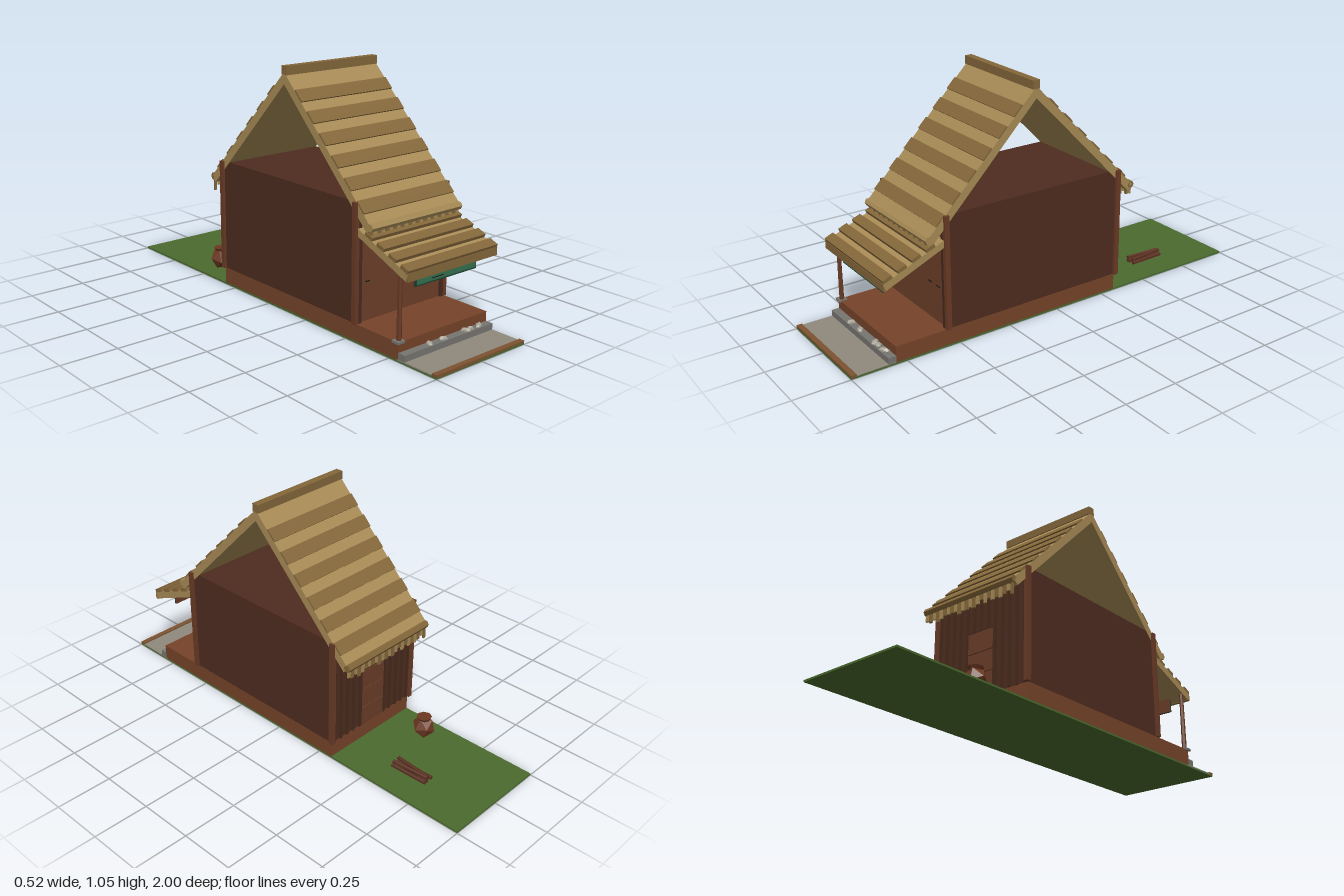
import * as THREE from 'three';

const mats = {};
const mat = (color) => (mats[color] ??= new THREE.MeshStandardMaterial({ color, flatShading: true }));

const C = {
  grass: 0x4a6b2e, path: 0x8f897d, edge: 0x7c5330, plinth: 0x764429, wall: 0x4e2c1f, front: 0x6e3f29,
  post: 0x693a26, dark: 0x472a1c, straw: 0xa88b56, strawDark: 0x84673a, stone: 0x777570, pebble: 0xaaa69a,
  sign: 0x34704f, frame: 0x1f3f2e, ink: 0x1c1a16, door: 0x6a3d28, pot: 0x6c3822, log: 0x5a3020,
};

export function createModel() {
  const model = new THREE.Group();
  let seed = 7;
  const rand = () => (seed = (seed * 16807) % 2147483647) / 2147483647;

  const add = (name, geo, color, x = 0, y = 0, z = 0) => {
    const m = new THREE.Mesh(geo, mat(color));
    m.name = name;
    m.position.set(x, y, z);
    model.add(m);
    return m;
  };
  // box given by its ranges on each axis
  const box = (name, color, x0, x1, y0, y1, z0, z1) =>
    add(name, new THREE.BoxGeometry(x1 - x0, y1 - y0, z1 - z0), color,
      (x0 + x1) / 2, (y0 + y1) / 2, (z0 + z1) / 2);
  // outline of (z, y) points extended across the width
  const slab = (name, color, pts, width = 0.5) => {
    const shape = new THREE.Shape(pts.map(([z, y]) => new THREE.Vector2(z, y)));
    const geo = new THREE.ExtrudeGeometry(shape, { depth: width, bevelEnabled: false });
    geo.translate(0, 0, -width / 2).rotateY(-Math.PI / 2);
    return add(name, geo, color);
  };
  // thatch course lying on a slope between two (z, y) points
  const course = (name, color, [z0, y0], [z1, y1], thick = 0.008) => {
    const m = add(name, new THREE.BoxGeometry(0.5, thick, Math.hypot(z1 - z0, y1 - y0)), color,
      0, (y0 + y1) / 2, (z0 + z1) / 2);
    m.rotation.x = -Math.atan2(y1 - y0, z1 - z0);
    if (Math.abs(m.rotation.x) > Math.PI / 2) m.rotation.x += Math.PI;
    return m;
  };
  const roll = (name, color, r, y, z) =>
    add(name, new THREE.CylinderGeometry(r, r, 0.5, 6).rotateZ(Math.PI / 2), color, 0, y, z);

  // Ground, front path and kerb
  box('grass', C.grass, -0.25, 0.25, 0, 0.008, -1, 1);
  box('path', C.path, -0.25, 0.25, 0.006, 0.011, 0.79, 0.976);
  box('kerb', C.edge, -0.25, 0.25, 0.004, 0.017, 0.976, 1);

  // Plinth, stone step and pebbles
  box('plinth', C.plinth, -0.25, 0.25, 0.008, 0.08, -0.32, 0.8);
  box('step', C.stone, -0.25, 0.25, 0.01, 0.038, 0.8, 0.835);
  for (const [x, w] of [[-0.1, 0.02], [-0.022, 0.02], [0.108, 0.023], [0.135, 0.014], [0.185, 0.026]]) {
    const p = add('pebble', new THREE.IcosahedronGeometry(1, 0), C.pebble, x, 0.04, 0.818);
    p.scale.set(w, 0.013, 0.014);
    p.rotation.y = x * 20;
  }

  // House body and front wall
  box('body', C.wall, -0.249, 0.249, 0.08, 0.58, -0.32, 0.55);
  box('frontWall', C.front, -0.249, 0.249, 0.08, 0.575, 0.55, 0.556);
  for (const [x0, x1] of [[-0.2, -0.175], [0.105, 0.13], [0.168, 0.192]])
    box('wallSlot', C.ink, x0, x1, 0.243, 0.247, 0.555, 0.559);

  // Corner posts, with dark jambs beside the front ones
  for (const s of [-1, 1]) {
    for (const z of [0.555, -0.325])
      add('cornerPost', new THREE.BoxGeometry(0.02, 0.5, 0.022), C.post, s * 0.251, 0.33, z);
    add('jamb', new THREE.BoxGeometry(0.016, 0.48, 0.012), C.dark, s * 0.233, 0.32, 0.56);
  }

  // Back wall planks and door
  for (let i = 0; i < 13; i++) {
    const x = -0.234 + i * 0.039;
    if (Math.abs(x) > 0.07) box('plankBatten', C.dark, x - 0.005, x + 0.005, 0.08, 0.54, -0.328, -0.32);
    else box('plankBatten', C.dark, x - 0.005, x + 0.005, 0.37, 0.54, -0.328, -0.32);
  }
  box('doorFrame', C.dark, -0.075, 0.075, 0.08, 0.37, -0.326, -0.32);
  for (const s of [-1, 1])
    for (const y of [0.085, 0.178, 0.271])
      box('doorPanel', C.door, s * 0.034 - 0.032, s * 0.034 + 0.032, y, y + 0.089, -0.331, -0.325);

  // Single porch post on a stone foot
  box('postFoot', C.stone, -0.26, -0.222, 0.075, 0.085, 0.772, 0.808);
  add('porchPost', new THREE.CylinderGeometry(0.009, 0.011, 0.295, 6), C.post, -0.238, 0.222, 0.79);

  // Hanging sign board
  box('signFrame', C.frame, -0.17, 0.17, 0.285, 0.365, 0.797, 0.804);
  box('signBoard', C.sign, -0.163, 0.163, 0.292, 0.36, 0.803, 0.807);
  box('signBack', C.door, -0.17, 0.17, 0.285, 0.365, 0.793, 0.797);
  box('signStroke', C.ink, -0.115, -0.045, 0.318, 0.321, 0.806, 0.809);
  box('signStroke', C.ink, -0.085, -0.02, 0.302, 0.305, 0.806, 0.809);

  // Main roof shell, open at the gables
  const apexZ = 0.115, apexY = 1.03, run = 0.525, drop = 0.535;
  slab('roof', C.straw, [[apexZ, apexY], [apexZ - run, apexY - drop], [apexZ - run + 0.025, 0.47],
    [apexZ, 0.98], [apexZ + run - 0.025, 0.47], [apexZ + run, apexY - drop]]);

  // Darker thatch courses and eave rolls on both slopes
  for (const s of [1, -1]) {
    const at = (y) => [apexZ + s * (run * (apexY - y) / drop + 0.002), y + 0.002];
    for (let i = 0; i < 6; i++) {
      const low = 0.92 - i * 0.0762;
      course('thatchCourse', C.strawDark, at(low + 0.042), at(low));
    }
    roll('eaveRoll', s > 0 ? C.straw : C.strawDark, 0.017, 0.493, apexZ + s * 0.518);
  }
  box('ridgeCap', C.strawDark, -0.25, 0.25, 1.018, 1.055, 0.098, 0.132);

  // Straw fringe under both eaves
  for (let i = 0; i < 24; i++) {
    const x = -0.239 + i * 0.0208, w = 0.006 + rand() * 0.003, long = 0.03 + rand() * 0.03;
    const color = i % 2 ? C.straw : C.strawDark;
    box('frontFringe', color, x - w, x + w, 0.462, 0.484, 0.618, 0.634);
    box('backFringe', color, x - w, x + w, 0.485 - long, 0.487, -0.408, -0.4);
  }

  // Porch roof with stepped courses and an eave roll
  const top = [0.56, 0.478], low = [0.842, 0.362];
  slab('porchRoof', C.straw, [top, [0.56, 0.447], [0.83, 0.333], low]);
  for (let i = 0; i < 4; i++) {
    const at = (t) => [top[0] + (low[0] - top[0]) * t + 0.002, top[1] + (low[1] - top[1]) * t + 0.007];
    course('porchCourse', C.strawDark, at(0.16 + i * 0.23), at(0.3 + i * 0.23), 0.016);
  }
  box('porchEave', C.strawDark, -0.25, 0.25, 0.332, 0.366, 0.826, 0.842);

  // Faceted clay pot
  const pot = add('pot', new THREE.IcosahedronGeometry(0.052, 0), C.pot, -0.145, 0.056, -0.505);
  pot.rotation.set(0.25, 0.4, 0);
  add('potRim', new THREE.CylinderGeometry(0.034, 0.026, 0.014, 8), C.pot, -0.145, 0.101, -0.505);

  // Stack of firewood
  for (const [x, y, turn] of [[0.078, 0.018, 0.06], [0.098, 0.018, -0.05], [0.118, 0.018, 0.03],
    [0.088, 0.034, -0.08], [0.108, 0.034, 0.07]]) {
    const log = add('firewood', new THREE.CylinderGeometry(0.008, 0.009, 0.175, 6).rotateX(Math.PI / 2),
      C.log, x, y, -0.64);
    log.rotation.y = turn;
  }
  return model;
}
